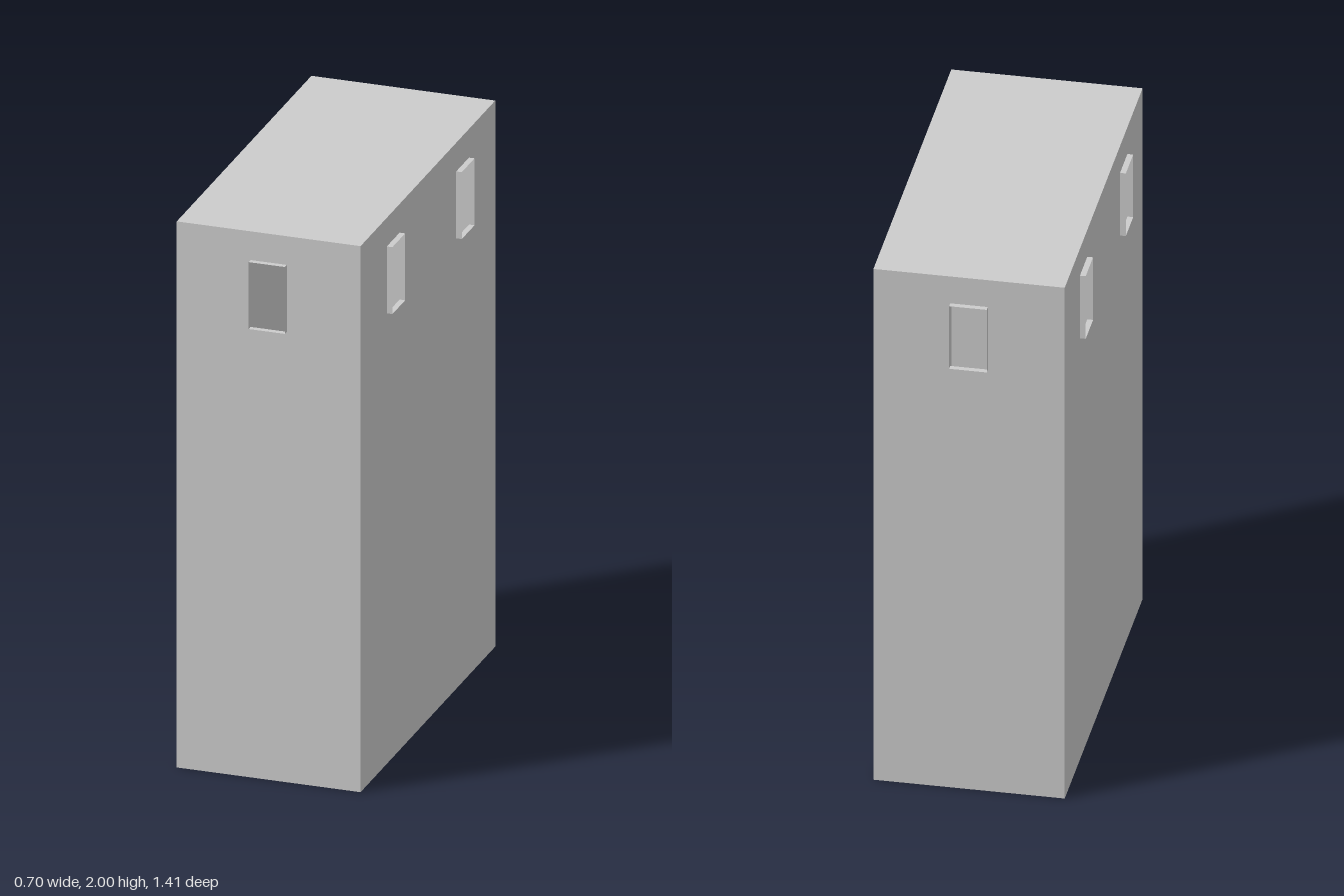
import * as THREE from 'three';

const W = 0.66, D = 1.37, H = 2;                 // body width, depth, height
const winW = 0.13, winLow = 1.65, winHigh = 1.895; // window opening
const rim = 0.02;                                // how far a window rim stands out

const material = new THREE.MeshStandardMaterial({
  color: 0xcccccc, flatShading: true, side: THREE.DoubleSide,
});

function addMesh(parent, name, geometry) {
  const mesh = new THREE.Mesh(geometry, material);
  mesh.name = name;
  parent.add(mesh);
  return mesh;
}

// Thin wall in the XY plane facing +z, with window holes and open rims
function makeWall(name, width, windowCentres) {
  const wall = new THREE.Group();
  wall.name = name;
  const shape = new THREE.Shape();
  shape.moveTo(-width / 2, 0).lineTo(width / 2, 0).lineTo(width / 2, H).lineTo(-width / 2, H).closePath();

  for (const cx of windowCentres) {
    const l = cx - winW / 2, r = cx + winW / 2;
    const hole = new THREE.Path();
    hole.moveTo(l, winLow).lineTo(l, winHigh).lineTo(r, winHigh).lineTo(r, winLow).closePath();
    shape.holes.push(hole);

    // four-sided open sleeve around the opening
    const sleeve = new THREE.CylinderGeometry(Math.SQRT1_2, Math.SQRT1_2, 1, 4, 1, true, Math.PI / 4);
    sleeve.rotateX(Math.PI / 2);
    sleeve.scale(winW, winHigh - winLow, rim);
    sleeve.translate(cx, (winLow + winHigh) / 2, rim / 2);
    addMesh(wall, 'windowRim', sleeve);
  }
  addMesh(wall, 'wallPanel', new THREE.ShapeGeometry(shape));
  return wall;
}

export function createModel() {
  const model = new THREE.Group();
  model.name = 'tower';

  // Four walls: one window on each end, two on each long side
  for (const [name, width, offset, angle, windows] of [
    ['frontWall', W, D / 2, 0, [0]],
    ['leftWall', D, W / 2, Math.PI / 2, [-0.353, 0.353]],
    ['backWall', W, D / 2, Math.PI, [0]],
    ['rightWall', D, W / 2, -Math.PI / 2, [-0.353, 0.353]],
  ]) {
    const wall = makeWall(name, width, windows);
    wall.rotation.y = angle;
    wall.position.set(Math.sin(angle) * offset, 0, Math.cos(angle) * offset);
    model.add(wall);
  }

  // Roof and floor close the hollow body
  const roof = addMesh(model, 'roof', new THREE.PlaneGeometry(W, D));
  roof.rotation.x = -Math.PI / 2;
  roof.position.y = H;
  const floor = addMesh(model, 'floor', new THREE.PlaneGeometry(W, D));
  floor.rotation.x = Math.PI / 2;

  return model;
}
